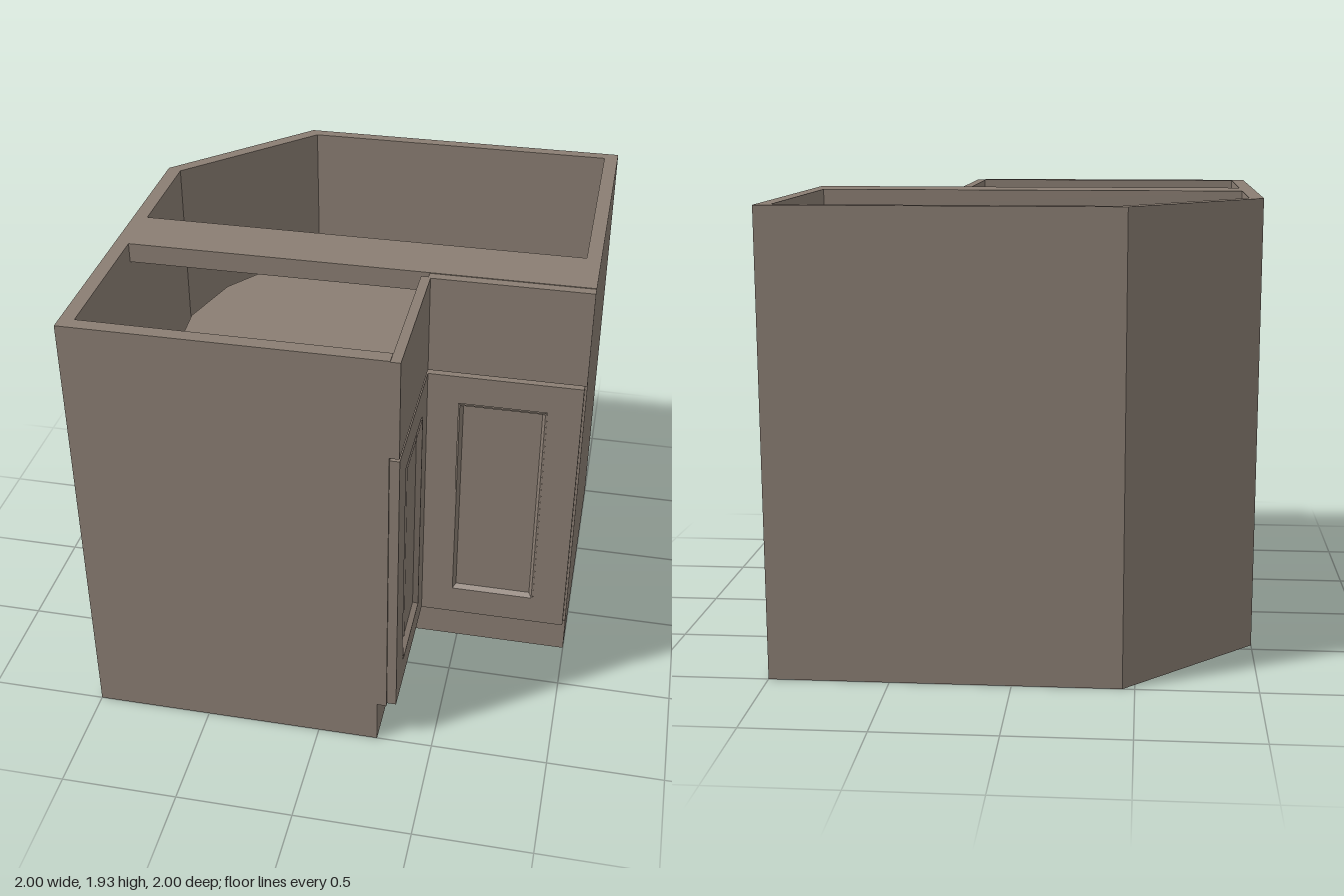
import * as THREE from 'three';

const H = 1.935, TOE = 0.2;
const material = new THREE.MeshStandardMaterial({ color: 0x8b7e73, flatShading: true });

function add(parent, name, geometry, x = 0, y = 0, z = 0) {
  const mesh = new THREE.Mesh(geometry, material);
  mesh.name = name;
  mesh.position.set(x, y, z);
  parent.add(mesh);
  return mesh;
}

const polygon = pts => new THREE.Shape(pts.map(p => new THREE.Vector2(p[0], p[1])));
const extrude = (shape, depth) => new THREE.ExtrudeGeometry(shape, { depth, bevelEnabled: false });
// Floor plan of [x, z] points raised by a height
const raisePlan = (pts, height) => extrude(polygon(pts.map(([x, z]) => [x, -z])), height).rotateX(-Math.PI / 2);
const rect = (hw, y0, y1) => [[-hw, y0], [hw, y0], [hw, y1], [-hw, y1]];

// Four sloping faces joining two rectangles at different depths
function slopedFrame(outer, zOuter, inner, zInner) {
  const pos = [];
  for (let i = 0; i < 4; i++) {
    const j = (i + 1) % 4;
    const a = [...outer[i], zOuter], b = [...outer[j], zOuter];
    const c = [...inner[j], zInner], d = [...inner[i], zInner];
    pos.push(...a, ...b, ...c, ...a, ...c, ...d);
  }
  const g = new THREE.BufferGeometry();
  g.setAttribute('position', new THREE.Float32BufferAttribute(pos, 3));
  g.computeVertexNormals();
  return g;
}

// Door with a recessed panel and the plain front above it, facing local +z
function cabinetFront(name, sign) {
  const front = new THREE.Group();
  front.name = name;
  const T = 0.04;
  const opening = rect(0.187, 0.34, 1.35), lip = rect(0.18, 0.347, 1.343), inset = rect(0.167, 0.36, 1.33);
  const door = polygon(rect(0.33, 0.207, 1.482));
  door.holes.push(new THREE.Path(opening.map(p => new THREE.Vector2(...p))));
  add(front, 'doorFrame', extrude(door, T));
  add(front, 'mouldingEdge', slopedFrame(opening, T, opening, T + 0.005).scale(1, 1, 1).setIndex(
    [...Array(8).keys()].flatMap(t => [3 * t, 3 * t + 2, 3 * t + 1])));
  add(front, 'mouldingLip', slopedFrame(opening, T + 0.005, lip, T + 0.005));
  add(front, 'mouldingSlope', slopedFrame(lip, T + 0.005, inset, 0.022));
  add(front, 'doorPanel', new THREE.BoxGeometry(0.36, 1.0, 0.02), 0, 0.845, 0.012);
  add(front, 'upperFront', new THREE.BoxGeometry(0.67, 0.432, T), 0.005 * sign, 1.716, T / 2);
  return front;
}

export function createModel() {
  const cabinet = new THREE.Group();
  cabinet.name = 'cornerCabinet';

  // Left wall, angled corner wall and back wall in one run
  add(cabinet, 'outerWalls', raisePlan([
    [-1, 1], [-1, -0.45], [-0.45, -1], [1, -1],
    [1, -0.95], [-0.42, -0.95], [-0.94, -0.43], [-0.94, 1],
  ], H));

  // End panels with a toe notch at the bottom front
  const endProfile = start => polygon([[start, 0], [0.26, 0], [0.26, TOE], [0.3, TOE], [0.3, H], [start, H]]);
  add(cabinet, 'frontEndPanel', extrude(endProfile(-0.94), 0.06), 0, 0, 0.94);
  const side = endProfile(-0.95);
  const sideGeometry = extrude(side, 0.06).rotateY(-Math.PI / 2); // profile x becomes z
  add(cabinet, 'sideEndPanel', sideGeometry, 1, 0, 0);

  // Base with toe kicks, leaving a narrow gap at the angled wall
  add(cabinet, 'base', raisePlan([
    [-0.94, 0.94], [-0.94, -0.43], [-0.84, -0.51], [-0.39, -0.95],
    [0.94, -0.95], [0.94, 0.26], [0.26, 0.26], [0.26, 0.94],
  ], TOE));

  // Rail across the open top
  add(cabinet, 'topRail', new THREE.BoxGeometry(1.88, 0.085, 0.25), 0, H - 0.0425, 0.175);

  // Two fronts meeting in the inner corner
  const right = cabinetFront('sideFront', 1);
  right.position.set(0.66, 0, 0.3);
  const left = cabinetFront('returnFront', -1);
  left.rotation.y = Math.PI / 2;
  left.position.set(0.3, 0, 0.66);
  cabinet.add(right, left);

  // Round trays with a square cut-out at the doors
  const tray = [[0.29, 0.29], [0.29, 0.885]];
  for (let i = 0; i <= 14; i++) {
    const a = THREE.MathUtils.degToRad(86.5 + 20 * i);
    tray.push([0.06 + 0.876 * Math.cos(a), 0.035 + 0.876 * Math.sin(a)]);
  }
  tray.push([0.89, 0.29]);
  for (const [name, y] of [['lowerTray', 0.75], ['upperTray', 1.36]]) {
    add(cabinet, name, raisePlan(tray, 0.04), 0, y, 0);
  }
  return cabinet;
}
